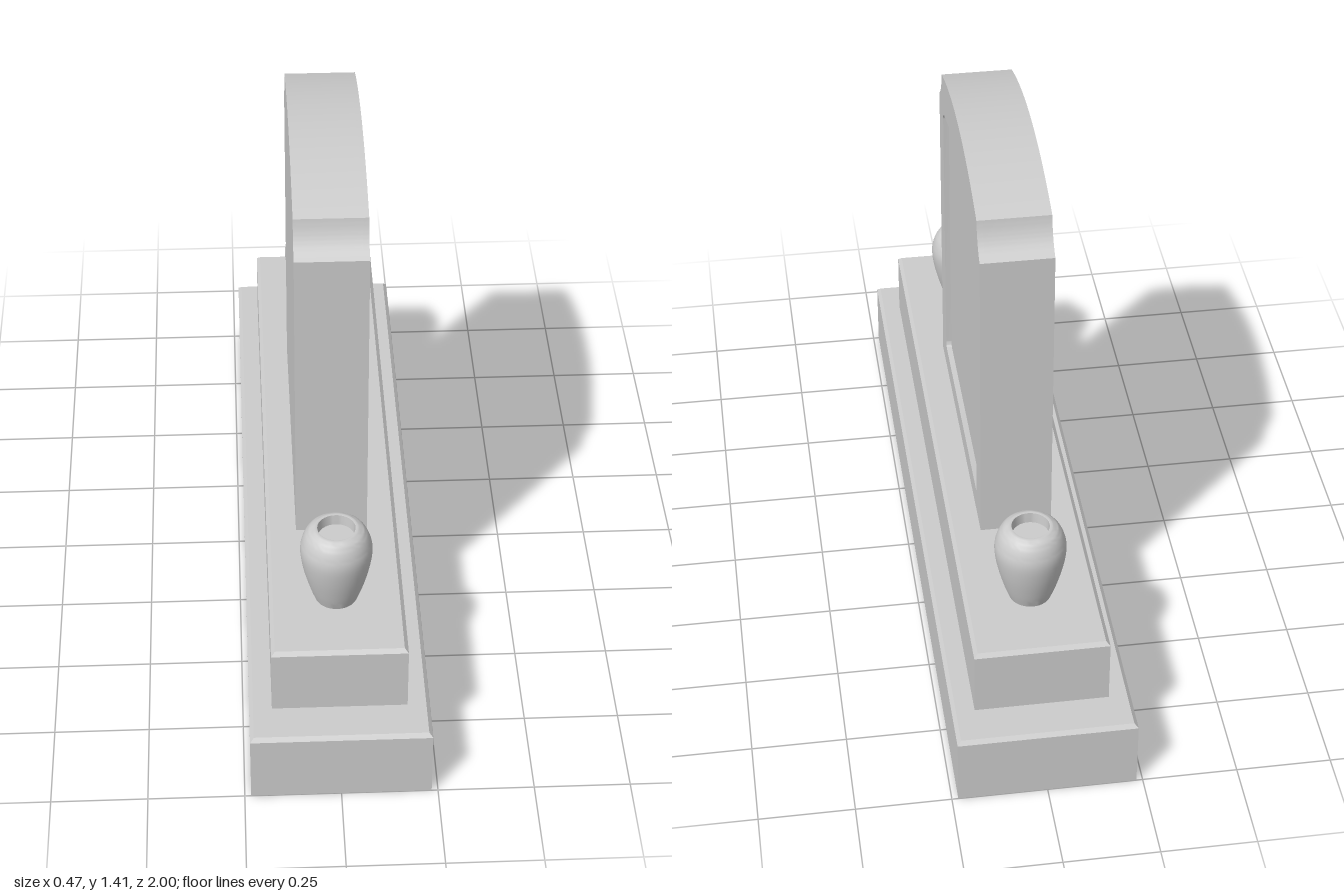
import * as THREE from 'three';
import { toCreasedNormals } from 'three/addons/utils/BufferGeometryUtils.js';

const material = new THREE.MeshStandardMaterial({ color: 0xcccccc, side: THREE.DoubleSide });

function addMesh(parent, name, geometry, x = 0, y = 0, z = 0) {
  const mesh = new THREE.Mesh(geometry, material);
  mesh.name = name;
  mesh.position.set(x, y, z);
  parent.add(mesh);
  return mesh;
}

// Block standing on y = 0 whose top edge is chamfered
function chamferedBlock(width, height, depth, chamfer) {
  const geometry = new THREE.BoxGeometry(width, height, depth, 1, 2, 1);
  geometry.translate(0, height / 2, 0);
  const p = geometry.attributes.position;
  for (let i = 0; i < p.count; i++) {
    const y = p.getY(i);
    if (y > height * 0.9) {
      p.setX(i, p.getX(i) - Math.sign(p.getX(i)) * chamfer);
      p.setZ(i, p.getZ(i) - Math.sign(p.getZ(i)) * chamfer);
    } else if (y > height * 0.1) {
      p.setY(i, height - chamfer);
    }
  }
  const flat = geometry.toNonIndexed();
  flat.computeVertexNormals();
  return flat;
}

// Shallow arch from (half, edgeY) over the crown to (-half, edgeY)
function archOver(path, half, edgeY, crownY) {
  const rise = crownY - edgeY;
  const radius = (half * half + rise * rise) / (2 * rise);
  const angle = Math.asin(half / radius);
  path.absarc(0, crownY - radius, radius, Math.PI / 2 - angle, Math.PI / 2 + angle, false);
}

// Outline with coved shoulders and an arched top
function stoneOutline() {
  const s = new THREE.Shape();
  s.moveTo(-0.41, 0.39);
  s.lineTo(0.41, 0.39);
  s.lineTo(0.41, 1.262);
  s.quadraticCurveTo(0.364, 1.288, 0.352, 1.352);
  archOver(s, 0.352, 1.352, 1.411);
  s.quadraticCurveTo(-0.364, 1.288, -0.41, 1.262);
  s.closePath();
  return s;
}

// Outline of the sunken panel with small rounded corners
function panelOutline() {
  const s = new THREE.Path();
  const w = 0.33, b = 0.455, r = 0.018;
  s.moveTo(-w + r, b);
  s.lineTo(w - r, b);
  s.quadraticCurveTo(w, b, w, b + r);
  s.lineTo(w, 1.225);
  s.quadraticCurveTo(w, 1.245, 0.3, 1.253);
  archOver(s, 0.3, 1.253, 1.296);
  s.quadraticCurveTo(-w, 1.245, -w, 1.225);
  s.lineTo(-w, b + r);
  s.quadraticCurveTo(-w, b, -w + r, b);
  return s;
}

// Slab extruded along x from x0 to x1
function slab(shape, x0, x1) {
  const geometry = new THREE.ExtrudeGeometry(shape, {
    depth: x1 - x0, bevelEnabled: false, curveSegments: 20,
  });
  geometry.rotateY(Math.PI / 2);
  geometry.translate(x0, 0, 0);
  return toCreasedNormals(geometry, 0.4);
}

// Turned vase with a hollow mouth
function vaseGeometry() {
  const body = new THREE.SplineCurve([
    [0.055, 0], [0.069, 0.04], [0.085, 0.1], [0.093, 0.155],
    [0.088, 0.19], [0.074, 0.218], [0.055, 0.23],
  ].map(([x, y]) => new THREE.Vector2(x, y))).getPoints(24);
  const mouth = [[0.049, 0.229], [0.047, 0.2], [0, 0.2]].map(([x, y]) => new THREE.Vector2(x, y));
  const profile = [new THREE.Vector2(0, 0), ...body, ...mouth];
  return toCreasedNormals(new THREE.LatheGeometry(profile, 40), 0.7);
}

export function createModel() {
  const model = new THREE.Group();
  model.name = 'memorial';

  // Stepped plinth
  addMesh(model, 'lowerBase', chamferedBlock(0.467, 0.2, 2, 0.01));
  addMesh(model, 'upperBase', chamferedBlock(0.35, 0.19, 1.775, 0.01), 0, 0.2, 0);

  // Upright stone: solid back and a face layer cut out around the panel
  const stone = new THREE.Group();
  stone.name = 'headstone';
  model.add(stone);
  addMesh(stone, 'stoneBody', slab(stoneOutline(), -0.096, 0.079));
  const face = stoneOutline();
  face.holes.push(panelOutline());
  addMesh(stone, 'panelFrame', slab(face, 0.079, 0.094));

  // Vase at each end
  for (const side of [-1, 1]) {
    addMesh(model, side > 0 ? 'frontVase' : 'backVase', vaseGeometry(), 0, 0.39, side * 0.67);
  }
  return model;
}
